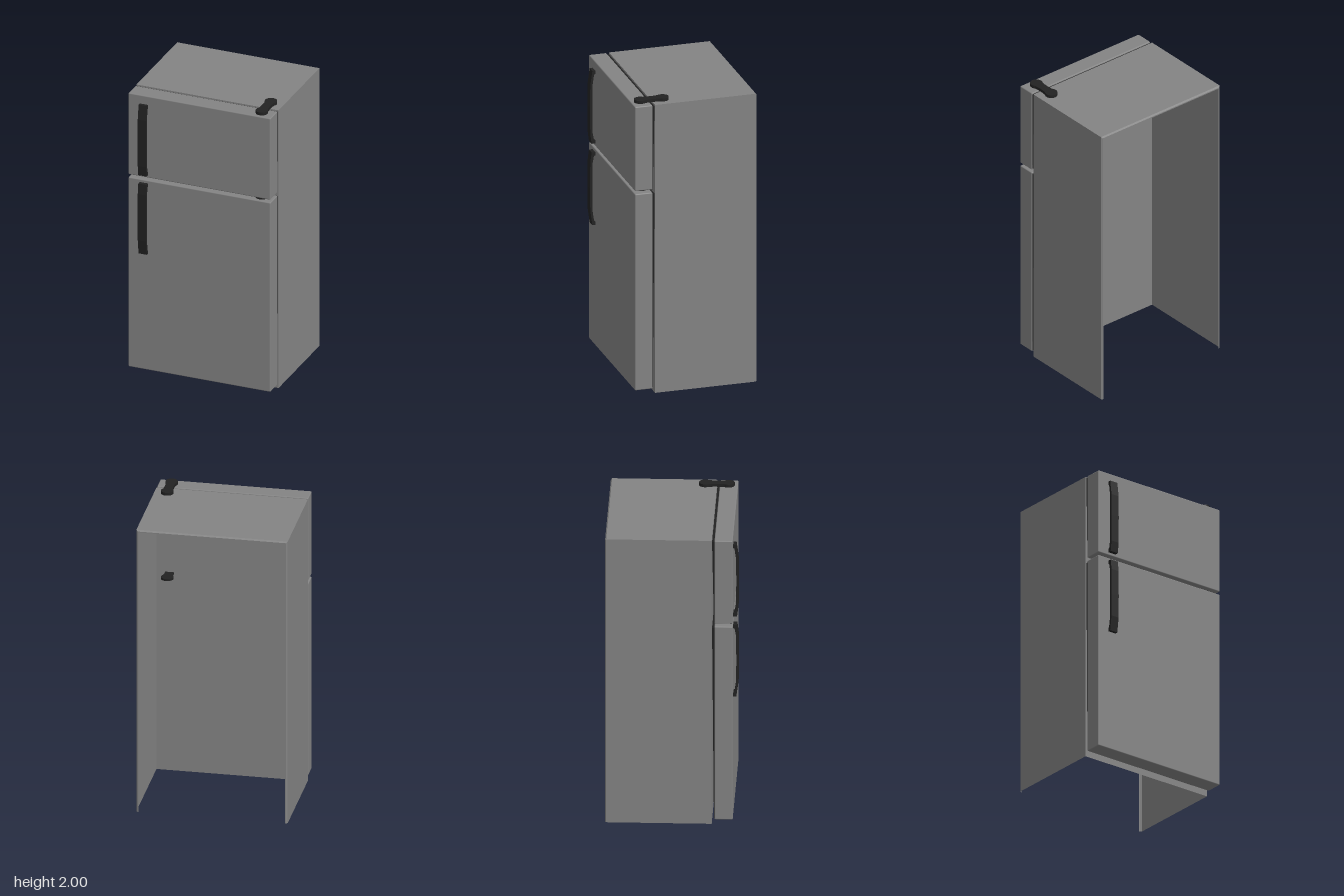
import * as THREE from 'three';
import { RoundedBoxGeometry } from 'three/addons/geometries/RoundedBoxGeometry.js';

const W = 0.495, H = 1.98, FRONT = 0.258, DOOR_BACK = 0.275, DOOR_FRONT = 0.393;

const panelGrey = new THREE.MeshStandardMaterial({ color: 0x848484 });
panelGrey.name = 'panelGrey';
panelGrey.side = THREE.DoubleSide;
const trimBlack = new THREE.MeshStandardMaterial({ color: 0x222222 });
trimBlack.name = 'trimBlack';

function add(parent, name, geometry, material) {
  const mesh = new THREE.Mesh(geometry, material);
  mesh.name = name;
  parent.add(mesh);
  return mesh;
}

// Sheet shell: an upside-down U swept from the front to a small folded lip at the back
function shellGeometry() {
  const sections = [[0, FRONT], [0, -0.42], [0.009, -0.428], [0.016, -0.428]];
  const ring = ([d, z]) => [
    [-W + d, 0, z], [-W + d, H - d, z], [W - d, H - d, z], [W - d, 0, z],
  ];
  const positions = [];
  for (let s = 0; s < sections.length - 1; s++) {
    const a = ring(sections[s]), b = ring(sections[s + 1]);
    for (let i = 0; i < 3; i++) {
      for (const p of [a[i], a[i + 1], b[i + 1], a[i], b[i + 1], b[i]]) positions.push(...p);
    }
  }
  const g = new THREE.BufferGeometry();
  g.setAttribute('position', new THREE.Float32BufferAttribute(positions, 3));
  g.computeVertexNormals();
  return g;
}

// Extrudes a (z, y) profile along x, centred on x = 0
function extrudeAcross(points, width) {
  const shape = new THREE.Shape(points.map(([z, y]) => new THREE.Vector2(z, y)));
  const g = new THREE.ExtrudeGeometry(shape, { depth: width, bevelEnabled: false });
  g.translate(0, 0, -width / 2);
  g.rotateY(-Math.PI / 2);
  return g;
}

// Door slab with a wedge-shaped seal behind it
function makeDoor(name, bottom, top) {
  const door = new THREE.Group();
  door.name = name;
  const depth = DOOR_FRONT - DOOR_BACK;
  const slab = add(door, name + 'Panel', new RoundedBoxGeometry(2 * W, top - bottom, depth, 2, 0.007), panelGrey);
  slab.position.set(0, (top + bottom) / 2, (DOOR_FRONT + DOOR_BACK) / 2);
  const seal = extrudeAcross([
    [DOOR_BACK + 0.002, bottom + 0.01], [DOOR_BACK + 0.002, top - 0.01],
    [FRONT + 0.002, top - 0.01], [DOOR_BACK - 0.003, bottom + 0.01],
  ], 0.98);
  // keep the wedge facing outwards after mapping z onto the x axis
  add(door, name + 'Seal', seal, trimBlack);
  return door;
}

// Bowed handle: short foot at one end, longer taper at the other
function makeHandle(name, y, flip) {
  const profile = [
    [0.39, 0], [0.418, 0], [0.427, 0.07], [0.428, 0.25], [0.427, 0.4], [0.413, 0.5],
    [0.39, 0.5], [0.39, 0.478], [0.401, 0.474], [0.412, 0.4], [0.413, 0.25],
    [0.412, 0.08], [0.402, 0.025], [0.39, 0.022],
  ];
  const pts = flip ? profile.map(([z, v]) => [z, 0.5 - v]) : profile;
  const handle = new THREE.Mesh(extrudeAcross(pts, 0.058), trimBlack);
  handle.name = name;
  handle.position.set(-0.386, y, 0);
  return handle;
}

// Peanut-shaped hinge plate
function makeHinge(name, y, height) {
  const s = new THREE.Shape();
  const r = 0.04, half = 0.075, a = 0.65;
  const cx = r * Math.cos(a), cy = half - r * Math.sin(a);
  s.absarc(0, half, r, -a, Math.PI + a, false);
  s.quadraticCurveTo(-0.024, 0, -cx, -cy);
  s.absarc(0, -half, r, Math.PI - a, 2 * Math.PI + a, false);
  s.quadraticCurveTo(0.024, 0, cx, cy);
  const g = new THREE.ExtrudeGeometry(s, { depth: height, bevelEnabled: false, curveSegments: 16 });
  g.rotateX(-Math.PI / 2);
  const hinge = new THREE.Mesh(g, trimBlack);
  hinge.name = name;
  hinge.position.set(0.41, y, 0.257);
  return hinge;
}

export function createModel() {
  const fridge = new THREE.Group();
  fridge.name = 'refrigerator';

  // Cabinet, open at the back and underneath
  const cabinet = new THREE.Group();
  cabinet.name = 'cabinet';
  add(cabinet, 'cabinetShell', shellGeometry(), panelGrey);
  add(cabinet, 'cabinetFront', new THREE.PlaneGeometry(2 * W, H), panelGrey)
    .position.set(0, H / 2, FRONT);
  fridge.add(cabinet);

  // Doors
  fridge.add(makeDoor('freezerDoor', 1.4, H));
  fridge.add(makeDoor('mainDoor', 0.03, 1.38));

  // Handles, mirrored about the gap between the doors
  fridge.add(makeHandle('freezerHandle', 1.42, false));
  fridge.add(makeHandle('mainHandle', 0.86, true));

  // Hinges
  fridge.add(makeHinge('topHinge', H, 0.02));
  fridge.add(makeHinge('middleHinge', 1.379, 0.014));

  return fridge;
}
